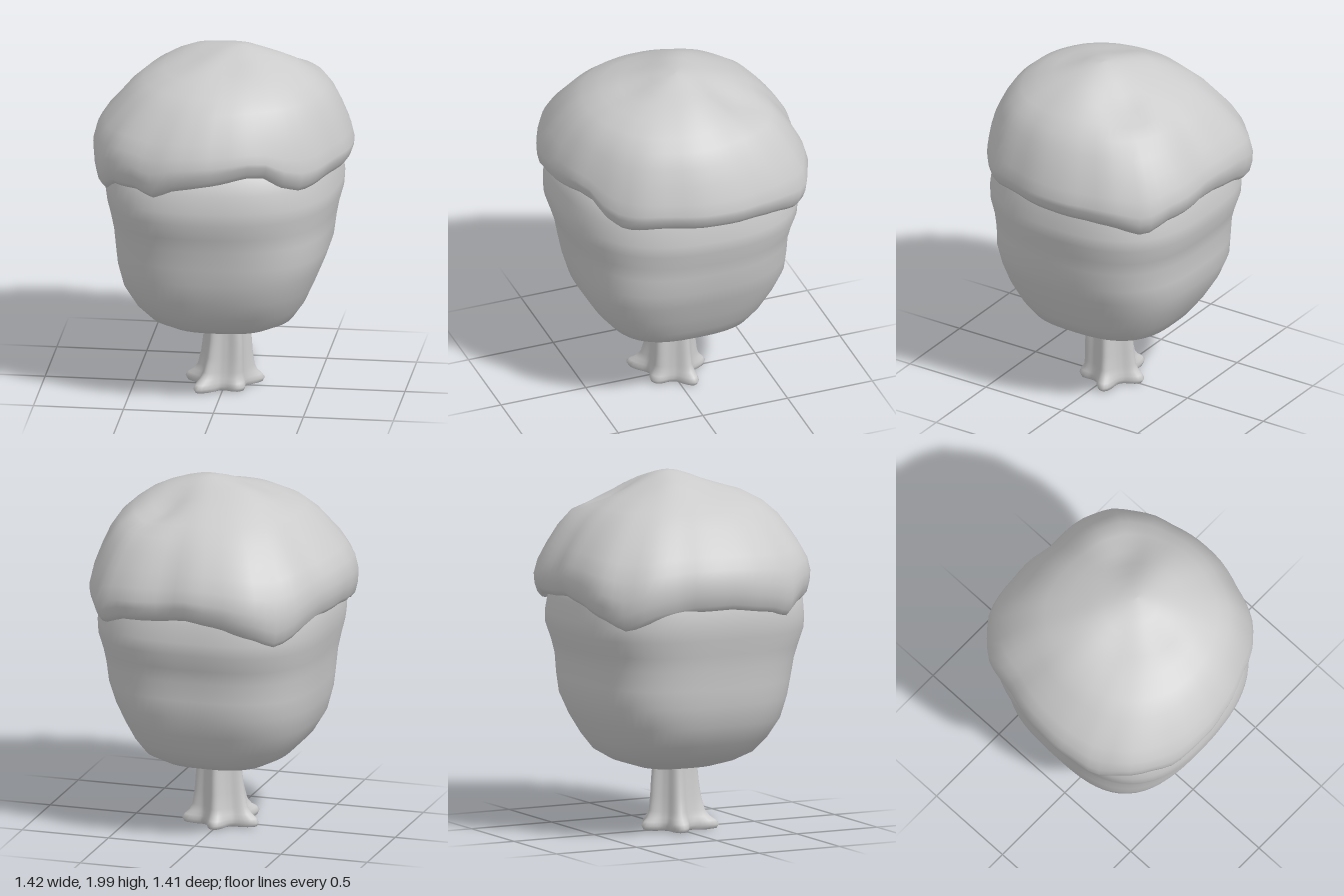
import * as THREE from 'three';

const SEG = 80;
const material = new THREE.MeshStandardMaterial({ color: 0xcccccc, side: THREE.DoubleSide });

// Smooth-shaded skin over closed rings, listed bottom to top; point(ring, angle) returns [x, y, z].
// Angles run from +x towards +z.
function loft(name, rings, point) {
  const pos = [], index = [];
  rings.forEach((ring, r) => {
    for (let i = 0; i < SEG; i++) {
      pos.push(...point(ring, (i / SEG) * Math.PI * 2));
      if (r === rings.length - 1) continue;
      const a = r * SEG + i, b = r * SEG + ((i + 1) % SEG);
      index.push(a, a + SEG, b, b, a + SEG, b + SEG);
    }
  });
  const geo = new THREE.BufferGeometry();
  geo.setAttribute('position', new THREE.Float32BufferAttribute(pos, 3));
  geo.setIndex(index);
  geo.computeVertexNormals();
  const mesh = new THREE.Mesh(geo, material);
  mesh.name = name;
  return mesh;
}

// Periodic interpolation of [degrees, value] pairs
function around(pairs) {
  const p = pairs.slice().sort((a, b) => a[0] - b[0]);
  const n = p.length;
  p.unshift([p[n - 1][0] - 360, p[n - 1][1]]);
  p.push([p[1][0] + 360, p[1][1]]);
  return (angle) => {
    const d = THREE.MathUtils.radToDeg(angle);
    let i = 0;
    while (i < p.length - 2 && d > p[i + 1][0]) i++;
    const t = (d - p[i][0]) / (p[i + 1][0] - p[i][0]);
    return THREE.MathUtils.lerp(p[i][1], p[i + 1][1], t * t * (3 - 2 * t) * 0.5 + t * 0.5);
  };
}

const bump = (x, z, cx, cz, w) => Math.exp(-((x - cx) ** 2 + (z - cz) ** 2) / (w * w));

// Rounded-square lower crown; each ring is [y, -x, +x, -z, +z extents]
function makeBody() {
  const rings = [
    [0.355, 0, 0, 0, 0], [0.36, 0.09, 0.09, 0.12, 0.09], [0.375, 0.2, 0.19, 0.23, 0.2],
    [0.41, 0.31, 0.3, 0.34, 0.31], [0.46, 0.405, 0.4, 0.42, 0.4], [0.54, 0.485, 0.455, 0.48, 0.465],
    [0.65, 0.55, 0.505, 0.545, 0.53], [0.77, 0.58, 0.555, 0.595, 0.565], [0.87, 0.59, 0.59, 0.6, 0.585],
    [0.98, 0.6, 0.605, 0.605, 0.605], [1.06, 0.615, 0.62, 0.625, 0.63], [1.15, 0.635, 0.645, 0.655, 0.66],
    [1.22, 0.645, 0.65, 0.655, 0.66], [1.32, 0.645, 0.63, 0.64, 0.65], [1.42, 0.61, 0.61, 0.61, 0.61],
    [1.52, 0.5, 0.5, 0.5, 0.5],
  ];
  return loft('lowerFoliage', rings, ([y, l, r, b, f], a) => {
    const c = Math.cos(a), s = Math.sin(a), n = 2.9;
    // flatter upper corner at the front left
    const depth = 0.02 + 0.06 * THREE.MathUtils.smoothstep(y, 0.8, 1.15);
    const cut = 1 - depth * Math.max(0, Math.cos(a - Math.PI / 4)) ** 6;
    const k = cut * (Math.abs(c) ** n + Math.abs(s) ** n) ** (-1 / n);
    return [c * k * (c < 0 ? l : r), y, s * k * (s < 0 ? b : f)];
  });
}

// Overhanging cap with an uneven outline and a drooping lower lip
function makeCap() {
  const outline = [
    [0.705, 0.01], [0.68, -0.25], [0.62, -0.45], [0.52, -0.6], [0.37, -0.67], [0.1, -0.69], [-0.13, -0.71],
    [-0.4, -0.67], [-0.57, -0.52], [-0.65, -0.27], [-0.71, -0.01], [-0.705, 0.2], [-0.67, 0.36],
    [-0.55, 0.54], [-0.32, 0.67], [-0.08, 0.7], [0.06, 0.68], [0.3, 0.6], [0.47, 0.51], [0.57, 0.41], [0.65, 0.22],
  ];
  const radius = around(outline.map(([x, z]) =>
    [(THREE.MathUtils.radToDeg(Math.atan2(z, x)) + 360) % 360, Math.hypot(x, z)]));
  const lip = around([
    [0, 1.345], [25, 1.35], [44, 1.32], [54, 1.355], [63, 1.42], [72, 1.43], [90, 1.39], [106, 1.36],
    [118, 1.3], [126, 1.335], [140, 1.325], [149, 1.26], [160, 1.3], [180, 1.33], [197, 1.325], [212, 1.295],
    [229, 1.22], [242, 1.285], [255, 1.335], [270, 1.36], [285, 1.34], [300, 1.33], [314, 1.27], [328, 1.32], [342, 1.335],
  ]);
  // [radius factor, height, how far the lip waviness carries, sideways tilt]
  const rings = [
    [0.84, 1.4, 1, 0], [0.9, 1.345, 1, 0], [0.94, 1.335, 1, 0], [0.975, 1.365, 1, 0], [0.995, 1.415, 0.95, 0.01],
    [1, 1.46, 0.75, 0.025], [0.975, 1.53, 0.5, 0.025], [0.92, 1.61, 0.3, 0.01], [0.855, 1.685, 0.15, -0.01],
    [0.77, 1.765, 0.05, -0.01], [0.66, 1.83, 0, 0], [0.52, 1.885, 0, 0], [0.385, 1.925, 0, 0],
    [0.27, 1.955, 0, 0], [0.165, 1.98, 0, 0], [0.08, 1.996, 0, 0], [0, 2, 0, 0],
  ];
  return loft('foliageCap', rings, ([k, h, share, tilt], a) => {
    const round = THREE.MathUtils.clamp((0.97 - k) * 1.5, 0, 0.85) * (h > 1.5 ? 1 : 0);
    const drift = h > 1.5 ? 1 - k : 0;
    const r = k * THREE.MathUtils.lerp(radius(a), 0.71, round);
    const x = r * Math.cos(a) + 0.08 * drift;
    const z = r * Math.sin(a) + 0.12 * drift * k;
    // hollows and low ridges over the crown
    const relief = share > 0 ? 0 : -0.05 * bump(x, z, 0.26, -0.27, 0.13) - 0.015 * bump(x, z, -0.2, 0.12, 0.14)
      - 0.02 * bump(x, z, 0.05, 0.24, 0.12) + 0.03 * bump(x, z, -0.2, -0.12, 0.15) + 0.02 * bump(x, z, 0.36, -0.03, 0.15);
    return [x, h + share * (lip(a) - 1.34) - tilt * Math.cos(a) + relief, z];
  });
}

// Fluted trunk flaring into five rounded roots of differing length
function makeTrunk() {
  // [y, radius between roots, radius along roots, how far root lengths differ]
  const rings = [
    [0.03, 0, 0, 0], [0.025, 0.07, 0.1, 0.5], [0.012, 0.11, 0.185, 1], [0.018, 0.125, 0.215, 1],
    [0.04, 0.132, 0.228, 1], [0.062, 0.13, 0.212, 1], [0.085, 0.125, 0.183, 0.8], [0.12, 0.118, 0.163, 0.5],
    [0.2, 0.112, 0.148, 0.2], [0.29, 0.107, 0.139, 0], [0.36, 0.103, 0.132, 0], [0.45, 0.1, 0.128, 0],
  ];
  const phase = THREE.MathUtils.degToRad(52);
  const length = around([[52, 0.77], [124, 1.1], [196, 1.03], [268, 0.9], [340, 0.99]]);
  return loft('trunk', rings, ([y, inner, outer, vary], a) => {
    const lobe = (0.5 + 0.5 * Math.cos(5 * (a - phase))) ** 1.5;
    const reach = outer * THREE.MathUtils.lerp(1, length(a), vary);
    const r = THREE.MathUtils.lerp(inner, reach, lobe);
    return [r * Math.cos(a) + 0.01 * (1 - vary), y, r * Math.sin(a)];
  });
}

export function createModel() {
  const model = new THREE.Group();
  model.name = 'roundTree';
  model.add(makeTrunk(), makeBody(), makeCap());
  return model;
}
